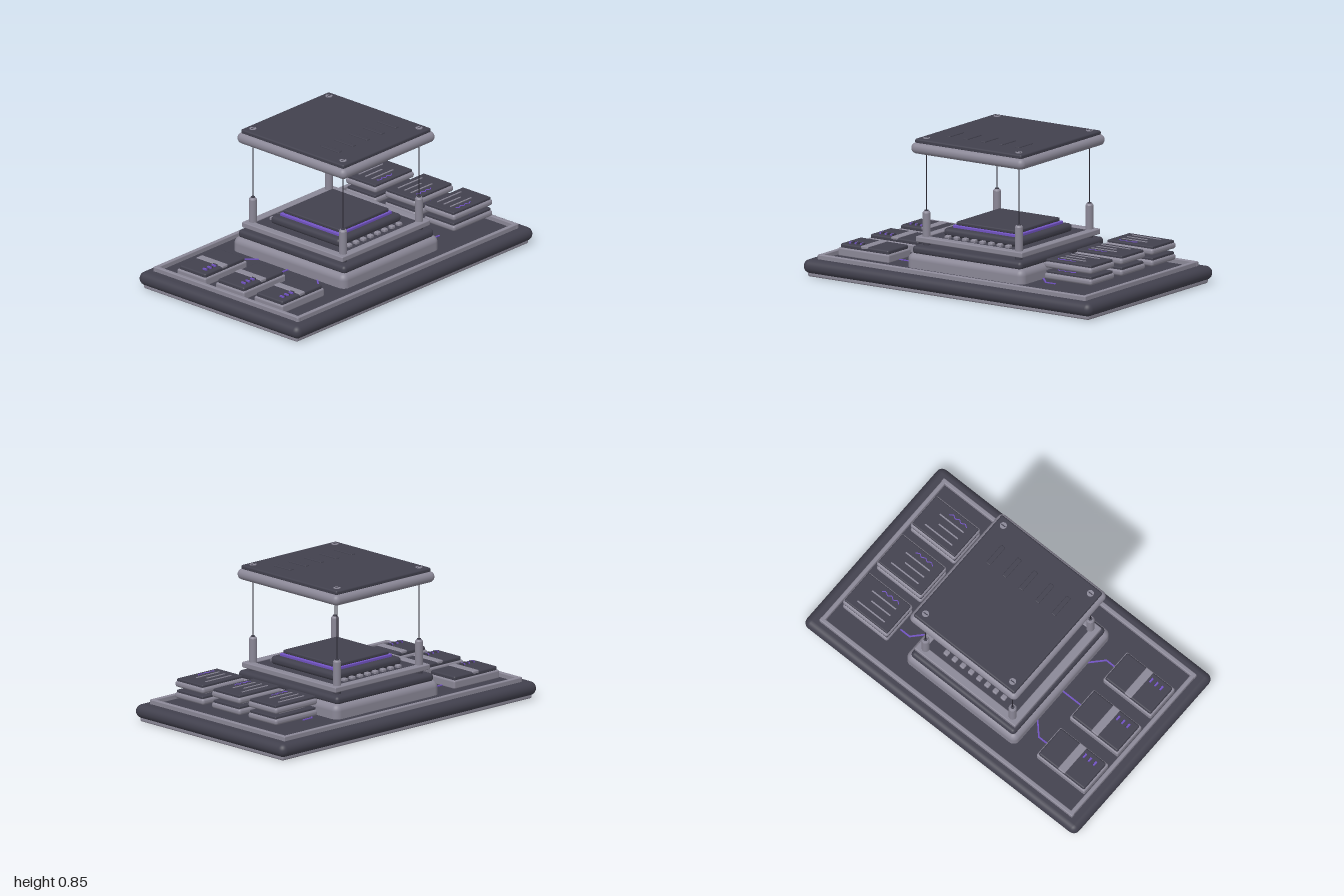
import * as THREE from 'three';
import { RoundedBoxGeometry } from 'three/addons/geometries/RoundedBoxGeometry.js';

const mat = (name, color) => Object.assign(new THREE.MeshStandardMaterial({ color }), { name });

export function createModel() {
  const model = new THREE.Group();
  model.name = 'explodedCircuitBoard';
  const dark = mat('dark slate', 0x41404d);
  const light = mat('grey metal', 0x8a8796);
  const purple = mat('purple glow', 0x7052c0);
  const black = mat('wire black', 0x2b2933);

  const add = (name, geo, m, x, y, z, parent = model) => {
    const mesh = new THREE.Mesh(geo, m);
    mesh.name = name;
    mesh.position.set(x, y, z);
    parent.add(mesh);
    return mesh;
  };
  // Slab with rounded edges, given its half sizes and bottom and top heights
  const slab = (name, m, hx, hz, y0, y1, r, x = 0, z = 0, parent = model) =>
    add(name, new RoundedBoxGeometry(2 * hx, y1 - y0, 2 * hz, 4, Math.min(r, (y1 - y0) / 2 - 0.0005)),
      m, x, (y0 + y1) / 2, z, parent);
  const box = (name, m, w, h, d, x, y, z, parent = model) =>
    add(name, new THREE.BoxGeometry(w, h, d), m, x, y, z, parent);
  const rod = (name, m, r, y0, y1, x, z, sides = 16, rTop = r) =>
    add(name, new THREE.CylinderGeometry(rTop, r, y1 - y0, sides), m, x, (y0 + y1) / 2, z);

  // Base board
  slab('footPlate', light, 0.975, 0.587, 0, 0.03, 0.01);
  slab('baseBoard', dark, 1, 0.615, 0.02, 0.1, 0.04);

  // Raised border on the board
  for (const s of [-1, 1]) {
    slab('borderLong', light, 0.93, 0.0125, 0.09, 0.127, 0.006, 0, s * 0.542);
    slab('borderShort', light, 0.0125, 0.555, 0.09, 0.127, 0.006, s * 0.915, 0);
  }

  // Central pedestal
  slab('pedestal', light, 0.405, 0.43, 0.06, 0.185, 0.04);
  slab('pedestalTop', dark, 0.38, 0.41, 0.175, 0.225, 0.022);

  // Floating bracket with the chip and its contact pins
  for (const s of [-1, 1]) {
    slab('bracketLong', light, 0.37, 0.025, 0.243, 0.275, 0.006, 0, s * 0.36);
    slab('bracketShort', light, 0.025, 0.36, 0.243, 0.275, 0.006, s * 0.345, 0);
    for (let i = 0; i < 8; i++) {
      slab('contactPin', light, 0.016, 0.016, 0.262, 0.284, 0.007, -0.21 + i * 0.06, s * 0.29);
    }
  }
  slab('chipCarrier', dark, 0.335, 0.345, 0.245, 0.268, 0.004);
  slab('chipBody', dark, 0.265, 0.265, 0.266, 0.315, 0.022);
  slab('chipGlow', purple, 0.225, 0.225, 0.312, 0.33, 0.004);
  slab('chipCap', dark, 0.21, 0.215, 0.328, 0.35, 0.008);

  // Lid
  slab('lidBody', light, 0.392, 0.415, 0.757, 0.822, 0.032);
  slab('lidPlate', dark, 0.37, 0.393, 0.815, 0.843, 0.01);
  for (let i = -2; i <= 2; i++) {
    slab('lidRib', dark, 0.015, 0.07, 0.836, 0.849, 0.005, i * 0.12, 0.18);
  }

  // Corner posts, wires and lid screws
  for (const sx of [-1, 1]) for (const sz of [-1, 1]) {
    const x = sx * 0.32, z = sz * 0.345;
    rod('postFoot', dark, 0.021, 0.215, 0.25, x, z);
    rod('post', light, 0.023, 0.245, 0.412, x, z);
    rod('postShoulder', light, 0.023, 0.412, 0.422, x, z, 16, 0.016);
    rod('postTip', dark, 0.011, 0.42, 0.428, x, z);
    rod('wire', black, 0.0028, 0.42, 0.747, x, z, 6);
    rod('screw', light, 0.02, 0.838, 0.847, x, z, 20);
    box('screwSlot', dark, 0.028, 0.003, 0.006, x, 0.847, z);
  }

  for (const row of [-1, 0, 1]) {
    // Low modules with a strap and indicator lights
    const module = new THREE.Group();
    module.name = 'rightModule';
    module.position.set(-0.718, 0, row * 0.295);
    model.add(module);
    slab('moduleTray', light, 0.177, 0.109, 0.095, 0.146, 0.01, 0, 0, module);
    slab('moduleLid', dark, 0.167, 0.1, 0.14, 0.168, 0.01, 0, 0, module);
    slab('moduleStrap', light, 0.025, 0.1, 0.15, 0.172, 0.006, 0, 0, module);
    for (let i = 0; i < 3; i++) {
      box('indicator', purple, 0.011, 0.012, 0.028, -0.12 + i * 0.037, 0.171, 0.055, module);
      box('indicatorGuard', dark, 0.008, 0.016, 0.028, -0.109 + i * 0.037, 0.171, 0.055, module);
    }

    // Pairs of stacked floating cards
    for (const y of [0.152, 0.218]) {
      const card = new THREE.Group();
      card.name = 'leftCard';
      card.position.set(0.705, y, row * 0.3 - 0.005);
      model.add(card);
      slab('cardTray', light, 0.165, 0.118, 0, 0.037, 0.016, 0, 0, card);
      slab('cardFace', dark, 0.157, 0.107, 0.03, 0.05, 0.006, 0, 0, card);
      [0.2, 0.14, 0.175].forEach((w, i) =>
        box('printLine', light, w, 0.005, 0.008, -0.105 + w / 2, 0.051, -0.065 + i * 0.05, card));
      for (let i = 0; i < 6; i++) {
        const dash = box('signalTrace', purple, 0.024, 0.005, 0.005, -0.09 + i * 0.021, 0.051, 0.074, card);
        dash.rotation.y = i % 2 ? 0.6 : -0.6;
      }
    }

    // Glowing traces between the modules and the pedestal
    for (const s of [-1, 1]) {
      const path = row ? [[0.54, 0.3], [0.475, 0.3], [0.395, 0.215]] : [[0.54, 0], [0.395, 0]];
      for (let i = 0; i < path.length - 1; i++) {
        const [ax, az] = path[i], [bx, bz] = path[i + 1];
        const dx = s * (bx - ax), dz = (row || 1) * (bz - az);
        const trace = box('boardTrace', purple, Math.hypot(dx, dz) + 0.004, 0.006, 0.009,
          s * (ax + bx) / 2, 0.102, (row || 1) * (az + bz) / 2);
        trace.rotation.y = -Math.atan2(dz, dx);
      }
    }
  }
  return model;
}
